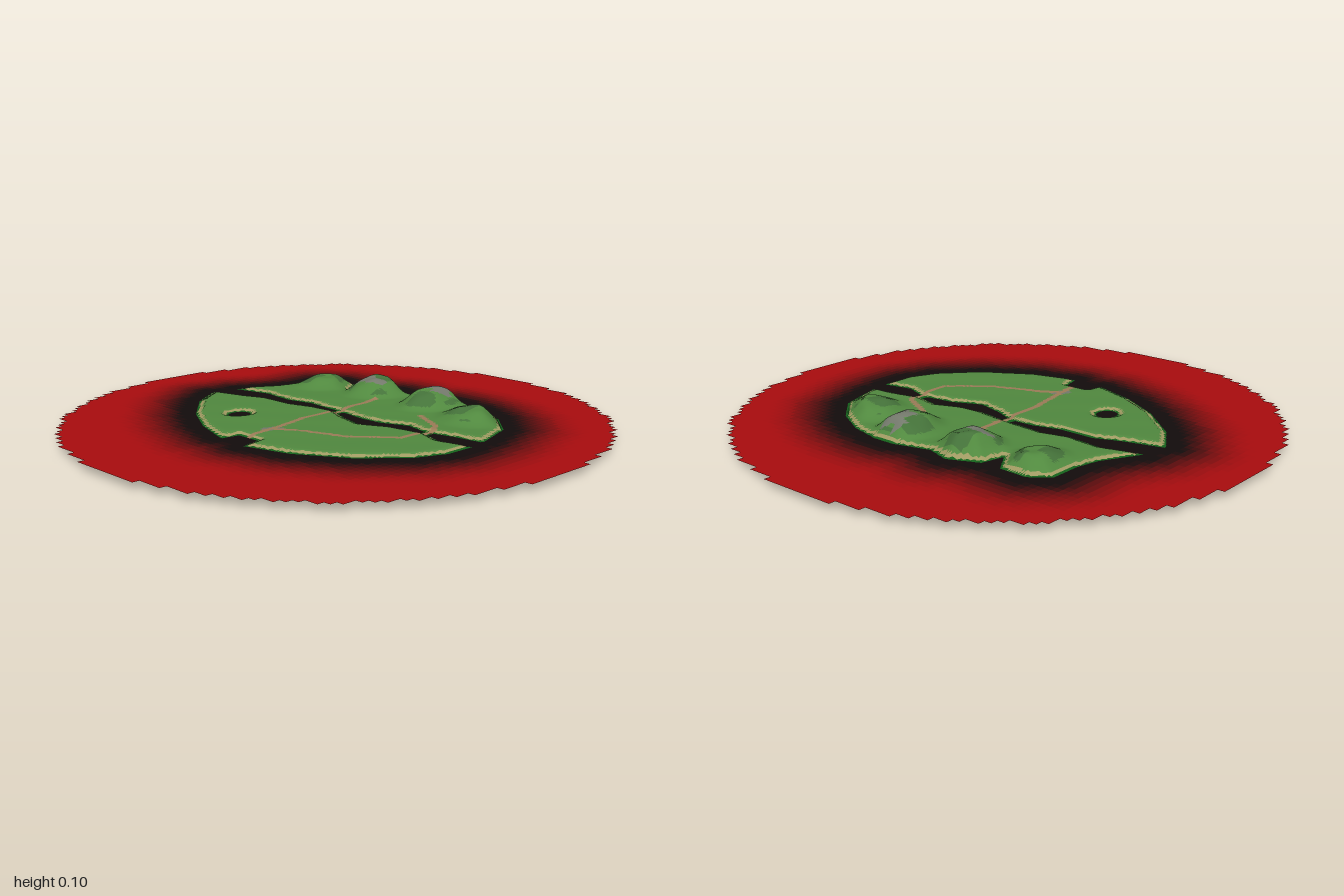
import * as THREE from 'three';

const SEA = 0.025;      // water level
const SHELF = 0.13;     // width of the sloping seabed

// Land outlines as x, z pairs
const SOUTH = [-0.65, 0.06, -0.5, 0.02, -0.4, -0.02, -0.26, -0.02, -0.155, -0.05, -0.06, -0.055, 0.03, -0.015,
  0.14, 0.015, 0.25, -0.035, 0.39, -0.055, 0.49, -0.015, 0.61, -0.04, 0.61, 0.08, 0.56, 0.2, 0.43, 0.34,
  0.25, 0.45, 0.07, 0.5, 0.05, 0.42, -0.05, 0.42, -0.06, 0.49, -0.24, 0.43, -0.4, 0.34, -0.56, 0.2];
const NORTH = [-0.63, -0.04, -0.55, -0.19, -0.53, -0.28, -0.53, -0.4, -0.46, -0.455, -0.35, -0.45, -0.29, -0.36,
  -0.27, -0.45, -0.155, -0.5, -0.06, -0.47, 0.085, -0.51, 0.17, -0.51, 0.3, -0.48, 0.43, -0.41, 0.54, -0.3,
  0.6, -0.11, 0.49, -0.1, 0.38, -0.075, 0.27, -0.1, 0.17, -0.06, 0.08, -0.055, -0.05, -0.075, -0.235, -0.09,
  -0.34, -0.065, -0.475, -0.08];
const PATHS = [
  [-0.07, -0.28, -0.05, -0.06, -0.05, 0.1, -0.01, 0.3, 0, 0.41],
  [0, 0.3, 0.06, 0.26, 0.25, 0.19, 0.39, 0.07, 0.39, -0.1, 0.36, -0.14, 0.23, -0.21],
];
// Hills: x, z, height above the plain, radius in x, radius in z
const HILLS = [
  [-0.41, -0.34, 0.036, 0.13, 0.16], [-0.16, -0.39, 0.06, 0.14, 0.17],
  [0.13, -0.39, 0.06, 0.13, 0.18], [0.39, -0.32, 0.043, 0.16, 0.16],
];
const FORDS = [[-0.055, -0.065], [0.385, -0.065]];
const ROCKS = [[-0.16, -0.35, 0.09, 0.035], [0.14, -0.42, 0.06, 0.07], [-0.01, 0.3, 0.04, 0.045]];

const smooth = (t) => THREE.MathUtils.smoothstep(t, 0, 1);

function lineDistance(p, x, z, closed) {
  const n = p.length / 2;
  let best = Infinity;
  for (let i = 0; i < (closed ? n : n - 1); i++) {
    const j = (i + 1) % n;
    const ax = p[2 * i], az = p[2 * i + 1], dx = p[2 * j] - ax, dz = p[2 * j + 1] - az;
    const t = THREE.MathUtils.clamp(((x - ax) * dx + (z - az) * dz) / (dx * dx + dz * dz), 0, 1);
    best = Math.min(best, Math.hypot(x - ax - t * dx, z - az - t * dz));
  }
  return best;
}

function inside(p, x, z) {
  let hit = false;
  for (let i = 0, j = p.length - 2; i < p.length; j = i, i += 2) {
    if ((p[i + 1] > z) !== (p[j + 1] > z)
      && x < (p[j] - p[i]) * (z - p[i + 1]) / (p[j + 1] - p[i + 1]) + p[i]) hit = !hit;
  }
  return hit;
}

// Distance to the shore: negative on land, positive in water
function shore(x, z) {
  const signed = (p) => lineDistance(p, x, z, true) * (inside(p, x, z) ? -1 : 1);
  const pond = 0.038 - Math.hypot((x + 0.285), (z - 0.225) * 0.9);
  return Math.max(Math.min(signed(SOUTH), signed(NORTH)), pond);
}

function height(x, z, d) {
  if (d > 0) {
    const bed = SEA * Math.max(0, 1 - d / SHELF);
    const ford = FORDS.some(([fx, fz]) => Math.hypot(x - fx, z - fz) < 0.022);
    return ford ? SEA + 0.002 : bed;
  }
  let y = SEA + 0.011 * smooth(-d / 0.03);
  y += 0.001 * Math.sin(x * 22 + z * 9) * Math.sin(z * 19) * smooth(-d / 0.06);
  for (const [hx, hz, h, rx, rz] of HILLS) {
    const r = Math.hypot((x - hx) / rx, (z - hz) / rz);
    const bumps = 1 + 0.08 * Math.sin(x * 60) * Math.cos(z * 47);
    if (r < 1) y += h * smooth((1 - r) * 1.25) * bumps * smooth(-d / 0.07);
  }
  return y;
}

const GROUND = {
  seabed: 0x39423f, wetShore: 0x14601a, beach: 0xa09a62, grass: 0x51893f,
  darkGrass: 0x45733a, rock: 0x74796c, path: 0x9c7c58,
};

function groundKind(x, z, y, d) {
  if (d > 0.012) return 'seabed';
  if (PATHS.some((p) => lineDistance(p, x, z, false) < 0.011)) return 'path';
  if (d > -0.008) return 'wetShore';
  if (ROCKS.some(([rx, rz, a, b]) => Math.hypot((x - rx) / a, (z - rz) / b) < 0.8 + 0.2 * Math.sin(x * 90 + z * 70))) return 'rock';
  if (d > -0.02 && y < 0.045) return 'beach';
  return y > 0.05 && Math.sin(x * 31) * Math.sin(z * 27) > 0.1 ? 'darkGrass' : 'grass';
}

const material = (color) => new THREE.MeshStandardMaterial({ color, side: THREE.DoubleSide, roughness: 1 });

// Height field, split into one mesh per ground cover with shared smooth normals
function terrain() {
  const group = new THREE.Group();
  group.name = 'terrain';
  const step = 0.01, nx = 160, nz = 132, x0 = -0.81, z0 = -0.66;
  const points = [], dist = [], all = [], parts = {};
  for (let j = 0; j <= nz; j++) {
    for (let i = 0; i <= nx; i++) {
      const x = x0 + i * step, z = z0 + j * step, d = shore(x, z);
      dist.push(d);
      points.push(x, height(x, z, d), z);
    }
  }
  for (let j = 0; j < nz; j++) {
    for (let i = 0; i < nx; i++) {
      const a = j * (nx + 1) + i, b = a + 1, c = a + nx + 1, e = c + 1;
      for (const tri of [[a, c, b], [b, c, e]]) {
        const mean = (f) => tri.reduce((s, k) => s + f(k), 0) / 3;
        const d = mean((k) => dist[k]), x = mean((k) => points[3 * k]);
        const y = mean((k) => points[3 * k + 1]), z = mean((k) => points[3 * k + 2]);
        // The seabed stops short behind the two north-west hills
        const cliff = z < -0.33 && x > -0.62 && x < -0.04;
        if (d > (cliff ? 0.02 : SHELF)) continue;
        (parts[groundKind(x, z, y, d)] ??= []).push(...tri);
        all.push(...tri);
      }
    }
  }
  const whole = new THREE.BufferGeometry();
  whole.setAttribute('position', new THREE.Float32BufferAttribute(points, 3));
  whole.setIndex(all);
  whole.computeVertexNormals();
  for (const [name, index] of Object.entries(parts)) {
    // Keep only the vertices this cover uses
    const used = [...new Set(index)], slot = new Map(used.map((k, n) => [k, n]));
    const geometry = new THREE.BufferGeometry();
    for (const key of ['position', 'normal']) {
      const src = whole.attributes[key];
      const data = used.flatMap((k) => [src.getX(k), src.getY(k), src.getZ(k)]);
      geometry.setAttribute(key, new THREE.Float32BufferAttribute(data, 3));
    }
    geometry.setIndex(index.map((k) => slot.get(k)));
    const mesh = new THREE.Mesh(geometry, material(GROUND[name]));
    mesh.name = name;
    group.add(mesh);
  }
  return group;
}

// Flat round sea of square cells, shaded from black at the shore to red
function water() {
  const group = new THREE.Group();
  group.name = 'water';
  const n = 78, s = 2 / n, bands = 16, cells = Array.from({ length: bands }, () => []);
  for (let j = 0; j < n; j++) {
    for (let i = 0; i < n; i++) {
      const x = -1 + (i + 0.5) * s, z = -1 + (j + 0.5) * s, d = shore(x, z);
      if (Math.hypot(x, z) > 0.998 || d < -0.02) continue;
      const band = Math.min(bands - 1, Math.floor(Math.max(0, d - 0.04) / 0.26 * bands));
      const l = x - s / 2, r = x + s / 2, t = z - s / 2, b = z + s / 2;
      cells[band].push(l, SEA, t, l, SEA, b, r, SEA, t, r, SEA, t, l, SEA, b, r, SEA, b);
    }
  }
  cells.forEach((data, k) => {
    if (!data.length) return;
    const geometry = new THREE.BufferGeometry();
    geometry.setAttribute('position', new THREE.Float32BufferAttribute(data, 3));
    geometry.computeVertexNormals();
    const color = new THREE.Color(0x120c0c).lerp(new THREE.Color(0xaa0c0e), smooth(k / (bands - 1)));
    const mesh = new THREE.Mesh(geometry, material(color));
    mesh.name = `waterBand${k + 1}`;
    group.add(mesh);
  });
  return group;
}

export function createModel() {
  const model = new THREE.Group();
  model.name = 'island';
  model.add(terrain(), water());
  return model;
}
